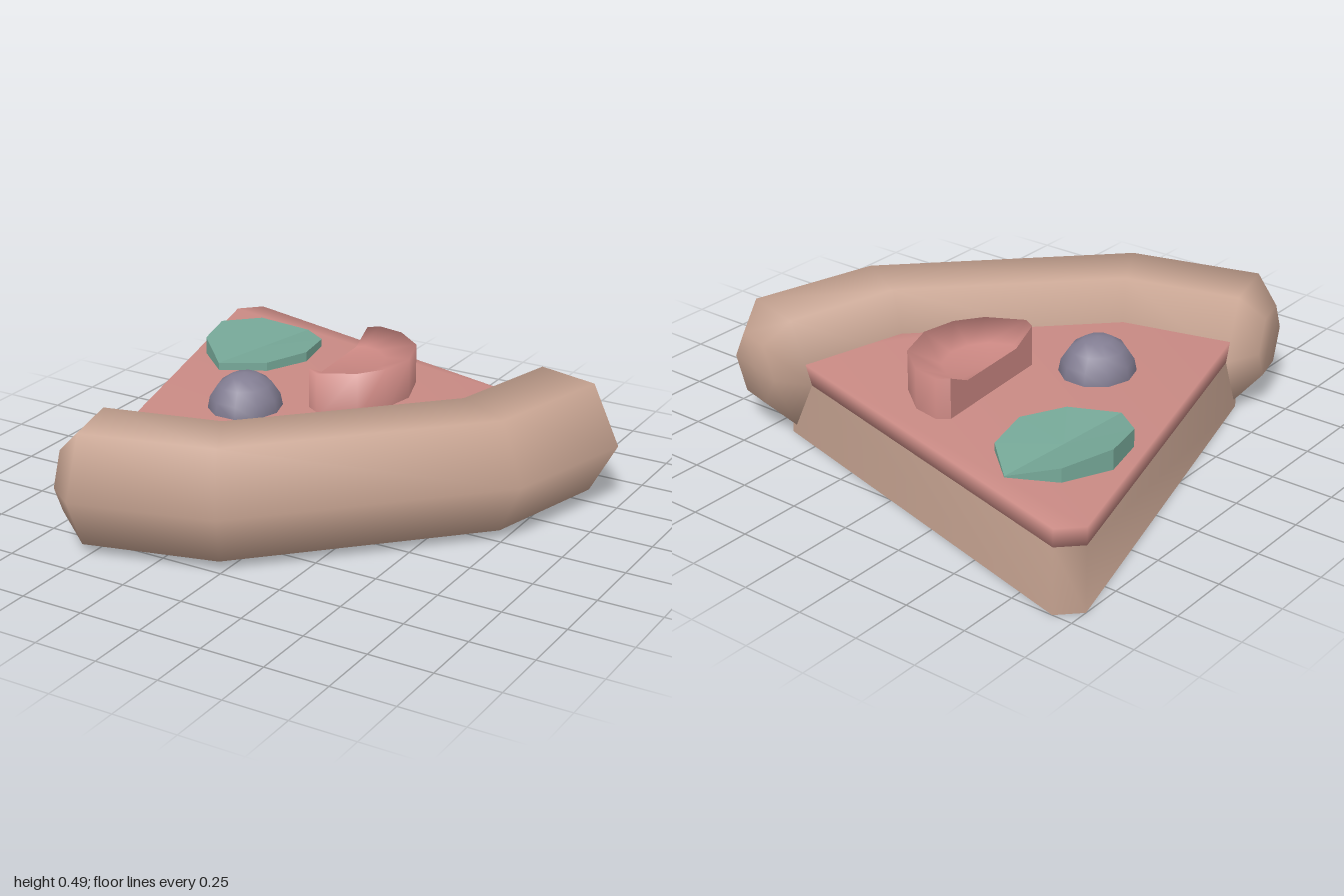
import * as THREE from 'three';
import { mergeVertices, toCreasedNormals } from 'three/addons/utils/BufferGeometryUtils.js';

const material = (name, color) => {
  const m = new THREE.MeshStandardMaterial({ color });
  m.name = name;
  return m;
};

// Skin through rings of [x, y, z] points, with optional fan caps to a centre point
function loft(rings, { closed = true, startCap = null, endCap = null } = {}) {
  const n = rings[0].length;
  const spans = closed ? n : n - 1;
  const points = rings.flat();
  const index = [];
  for (let i = 0; i < rings.length - 1; i++) {
    for (let j = 0; j < spans; j++) {
      const k = (j + 1) % n;
      const a = i * n + j, b = (i + 1) * n + j, c = i * n + k, d = (i + 1) * n + k;
      index.push(a, b, c, b, d, c);
    }
  }
  const cap = (centre, base, flip) => {
    const c = points.push(centre) - 1;
    for (let j = 0; j < spans; j++) {
      const a = base + j, b = base + (j + 1) % n;
      index.push(c, flip ? b : a, flip ? a : b);
    }
  };
  if (startCap) cap(startCap, 0, false);
  if (endCap) cap(endCap, (rings.length - 1) * n, true);
  const g = new THREE.BufferGeometry();
  g.setAttribute('position', new THREE.Float32BufferAttribute(points.flat(), 3));
  g.setIndex(index);
  g.computeVertexNormals();
  return g;
}

function faceted(geometry) {
  const g = geometry.toNonIndexed();
  g.computeVertexNormals();
  return g;
}

// Horizontal plate with an [x, z] outline between two heights
function slab(outline, bottom, top) {
  const shape = new THREE.Shape(outline.map(([x, z]) => new THREE.Vector2(x, z)));
  const g = new THREE.ExtrudeGeometry(shape, { depth: top - bottom, bevelEnabled: false });
  g.rotateX(Math.PI / 2).translate(0, top, 0);
  g.deleteAttribute('uv');
  g.deleteAttribute('normal');
  const merged = mergeVertices(g);
  merged.computeVertexNormals();
  return merged;
}

export function createModel() {
  const group = new THREE.Group();
  const crustMat = material('baked dough', 0xc6a391);
  const sauceMat = material('sauce', 0xc98a84);
  const meatMat = material('sliced meat', 0xca8782);
  const oliveMat = material('olive', 0x827d92);
  const leafMat = material('leaf green', 0x76a898);
  const add = (name, geometry, mat) => {
    const mesh = new THREE.Mesh(geometry, mat);
    mesh.name = name;
    group.add(mesh);
    return mesh;
  };

  // Wedge of dough with a sauce layer on top
  const wedge = [[-1, -0.92], [-0.92, -1], [0.65, -0.58], [0.52, -0.11], [-0.11, 0.52], [-0.58, 0.65]];
  add('doughBase', toCreasedNormals(slab(wedge, 0, 0.26), 1.2), crustMat);
  add('sauceLayer', slab(wedge, 0.26, 0.33), sauceMat);

  // Six-sided bent crust, given by inner and outer edge points; the far half mirrors x and z
  const half = [
    [[-0.68, 0.64], [-0.61, 0.91]],
    [[-0.62, 0.5], [-0.49, 0.995]],
    [[-0.2, 0.4], [0.05, 0.85]],
  ];
  const mirrored = half.map(pair => pair.map(([x, z]) => [z, x])).reverse();
  const sections = [...half, ...mirrored];
  const centre = ([a, b]) => [(a[0] + b[0]) / 2, 0.26, (a[1] + b[1]) / 2];
  const crustRings = sections.map((pair, i) => {
    const [cx, cy, cz] = centre(pair);
    const hx = pair[1][0] - cx, hz = pair[1][1] - cz;
    const height = i === 0 || i === sections.length - 1 ? 0.14 : 0.254;
    return Array.from({ length: 6 }, (_, j) => {
      const t = j * Math.PI / 3;
      return [cx + hx * Math.cos(t), cy + height * Math.sin(t), cz + hz * Math.cos(t)];
    });
  });
  add('crust', loft(crustRings, {
    startCap: centre(sections[0]),
    endCap: centre(sections[sections.length - 1]),
  }), crustMat);

  // Half slice of meat with a raised rim
  const arc = [[-0.17, -0.61], [-0.13, -0.645], [-0.02, -0.625], [0.1, -0.53], [0.155, -0.37],
    [0.13, -0.23], [0.06, -0.13], [-0.08, -0.055], [-0.13, -0.085]];
  const mid = [-0.15, -0.35];
  const arcRing = (s, y) => arc.map(([x, z]) => [mid[0] + (x - mid[0]) * s, y, mid[1] + (z - mid[1]) * s]);
  const low = arcRing(1, 0.3), rim = arcRing(1, 0.49), floor = arcRing(0.6, 0.44);
  add('meatSlice', loft([low, rim, floor], { closed: false, endCap: [mid[0], 0.44, mid[1]] }), meatMat);

  // Straight cut side of the meat
  const last = arc.length - 1;
  const cut = new THREE.BufferGeometry();
  cut.setAttribute('position', new THREE.Float32BufferAttribute(
    [low[0], low[last], rim[last], floor[last], floor[0], rim[0]].flat(), 3));
  cut.setIndex([0, 1, 3, 0, 3, 4, 1, 2, 3, 0, 4, 5]);
  add('meatCutFace', faceted(cut), meatMat);

  // Olive half sunk in the sauce
  const olive = add('olive', new THREE.SphereGeometry(0.15, 10, 8), oliveMat);
  olive.scale.set(0.97, 1, 1.03);
  olive.position.set(-0.35, 0.32, 0.03);

  // Leaf folded along its long axis: [x, top height, z]
  const leafTop = [[-0.585, 0.335, -0.83], [-0.44, 0.36, -0.7], [-0.4, 0.37, -0.51], [-0.48, 0.365, -0.335],
    [-0.655, 0.36, -0.245], [-0.805, 0.4, -0.38], [-0.845, 0.41, -0.56], [-0.76, 0.385, -0.74]];
  const leafLow = leafTop.map(([x, , z]) => [x, 0.3, z]);
  add('leaf', faceted(loft([leafLow, leafTop], { endCap: [-0.62, 0.347, -0.54] })), leafMat);

  return group;
}
